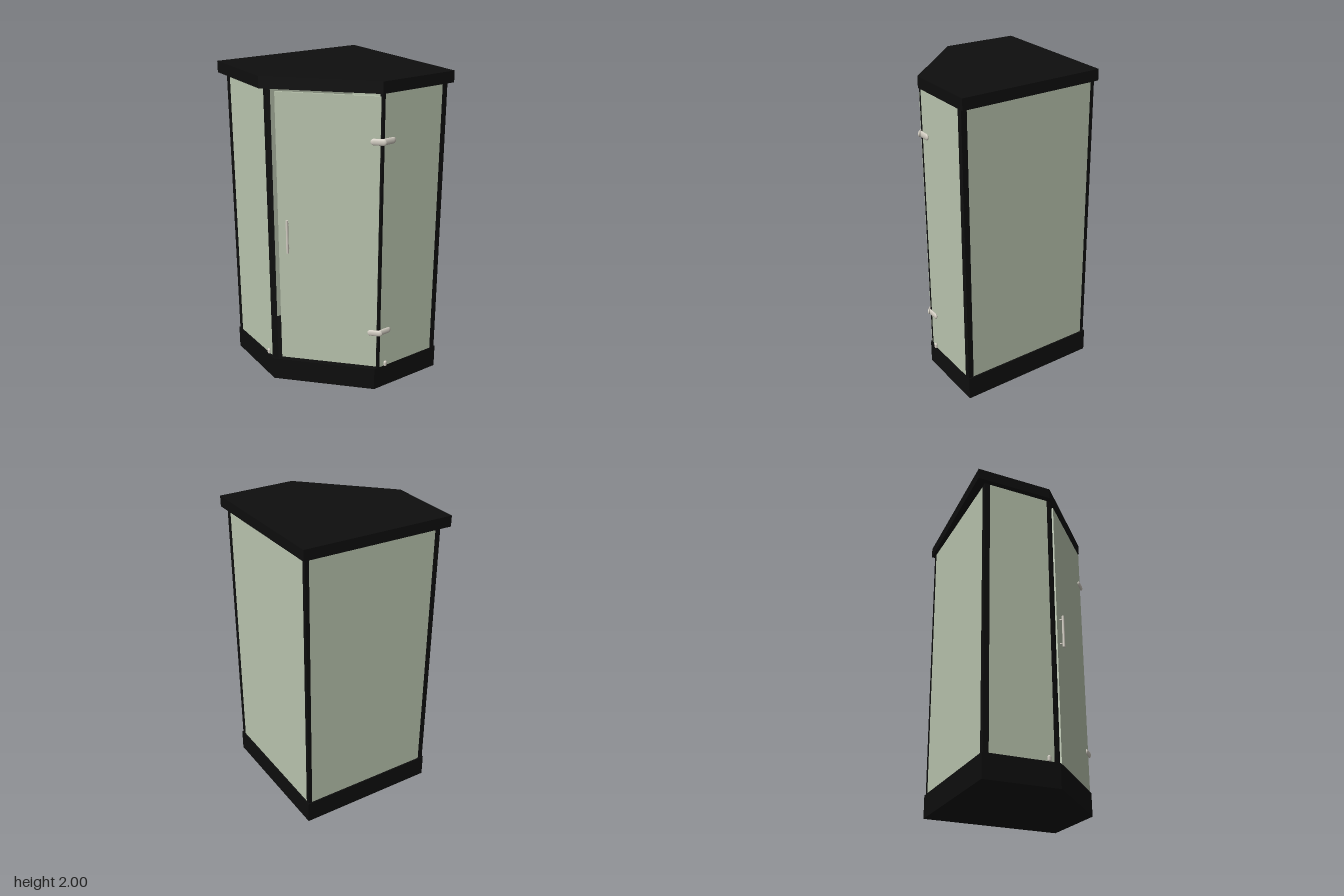
import * as THREE from 'three';

const mat = (name, color) => {
  const m = new THREE.MeshStandardMaterial({ color });
  m.name = name;
  return m;
};

export function createModel() {
  const group = new THREE.Group();
  const black = mat('black frame', 0x0e0e0e);
  const glass = mat('tinted glass', 0xb9c4ae);
  const metal = mat('satin metal', 0xd2cdc2);
  const white = mat('white trim', 0xf0f0ea);

  const add = (name, geo, material, x = 0, y = 0, z = 0) => {
    const m = new THREE.Mesh(geo, material);
    m.name = name;
    m.position.set(x, y, z);
    group.add(m);
    return m;
  };

  // Vertical prism over a plan outline of [x, z] points
  const prism = (name, pts, y0, y1, material) => {
    const shape = new THREE.Shape(pts.map(([x, z]) => new THREE.Vector2(x, -z)));
    const geo = new THREE.ExtrudeGeometry(shape, { depth: y1 - y0, bevelEnabled: false });
    geo.rotateX(-Math.PI / 2);
    return add(name, geo, material, 0, y0, 0);
  };

  // Base tray and roof
  prism('baseTray', [[0.01, -0.505], [0.687, 0.15], [0.335, 0.5], [-0.325, 0.5], [-0.665, 0.16]], 0, 0.15, black);
  prism('roof', [[0.01, -0.52], [0.717, 0.138], [0.352, 0.492], [-0.36, 0.497], [-0.72, 0.145]], 1.93, 2, black);

  // Wall corners: back, left, front left, front right, right
  const corners = [[0.01, -0.495], [0.68, 0.155], [0.352, 0.485], [-0.322, 0.487], [-0.657, 0.162]]
    .map(([x, z]) => new THREE.Vector2(x, z));
  const widths = [0.026, 0.036, 0.016, 0.026, 0.036];
  const y0 = 0.15, y1 = 1.93, h = y1 - y0, n = corners.length;

  // Corner posts, wrapped a little along both neighbouring walls
  corners.forEach((p, i) => {
    const a = corners[(i + 1) % n].clone().sub(p).setLength(widths[i]).add(p);
    const b = corners[(i + n - 1) % n].clone().sub(p).setLength(widths[i]).add(p);
    prism('cornerPost', [p, a, b].map(v => [v.x, v.y]), y0, y1, black);
  });

  // Fixed glass panels on every side but the doorway
  corners.forEach((p, i) => {
    if (i === 2) return;
    const q = corners[(i + 1) % n];
    const d = q.clone().sub(p), mid = p.clone().add(q).multiplyScalar(0.5);
    const inward = new THREE.Vector2(-d.y, d.x).normalize();
    if (inward.dot(mid) > 0) inward.negate();
    mid.addScaledVector(inward, 0.008);
    const panel = add('glassPanel', new THREE.BoxGeometry(d.length() - 0.03, h, 0.012), glass, mid.x, y0 + h / 2, mid.y);
    panel.rotation.y = -Math.atan2(d.y, d.x);
  });

  // Door
  add('door', new THREE.BoxGeometry(0.612, 1.75, 0.012), glass, 0.036, 1.04, 0.484);

  // Door handle on two standoffs
  add('doorHandle', new THREE.CylinderGeometry(0.008, 0.008, 0.215, 16), metal, -0.21, 1.028, 0.512);
  for (const y of [0.945, 1.11]) {
    add('handleStandoff', new THREE.CylinderGeometry(0.006, 0.006, 0.028, 12), metal, -0.21, y, 0.5).rotation.x = Math.PI / 2;
  }

  // Hinges: one leaf on the door, one on the angled panel
  for (const y of [0.41, 1.652]) {
    const leaf = new THREE.CapsuleGeometry(0.02, 0.055, 6, 16);
    leaf.rotateZ(Math.PI / 2);
    leaf.scale(1, 1, 0.45);
    add('hingeDoorLeaf', leaf, metal, 0.332, y, 0.493);
    add('hingePanelLeaf', leaf, metal, 0.387, y, 0.458).rotation.y = Math.PI / 4;
  }

  // Glass clips at the foot of the angled panels
  for (const [x, z] of [[-0.37, 0.447], [0.396, 0.447]]) {
    const clip = add('glassClip', new THREE.CapsuleGeometry(0.012, 0.016, 6, 12), metal, x, 0.168, z);
    clip.rotation.y = Math.sign(x) * Math.PI / 4;
    clip.scale.z = 0.8;
  }

  // Overhead shower in the ceiling
  add('ceilingPlate', new THREE.CylinderGeometry(0.15, 0.15, 0.012, 32), white, 0, 1.924, 0);
  add('showerHead', new THREE.CylinderGeometry(0.1, 0.05, 0.012, 32), metal, 0, 1.912, 0);

  // Controls on the inside of the rear wall
  for (const y of [0.835, 1.075, 1.31]) {
    const valve = add('valve', new THREE.CylinderGeometry(0.026, 0.026, 0.03, 20), metal, -0.262, y, -0.195);
    valve.rotation.set(Math.PI / 2, 0, -Math.PI / 4);
  }
  add('handShower', new THREE.CylinderGeometry(0.01, 0.01, 0.22, 12), metal, -0.3, 0.89, -0.15);

  return group;
}
